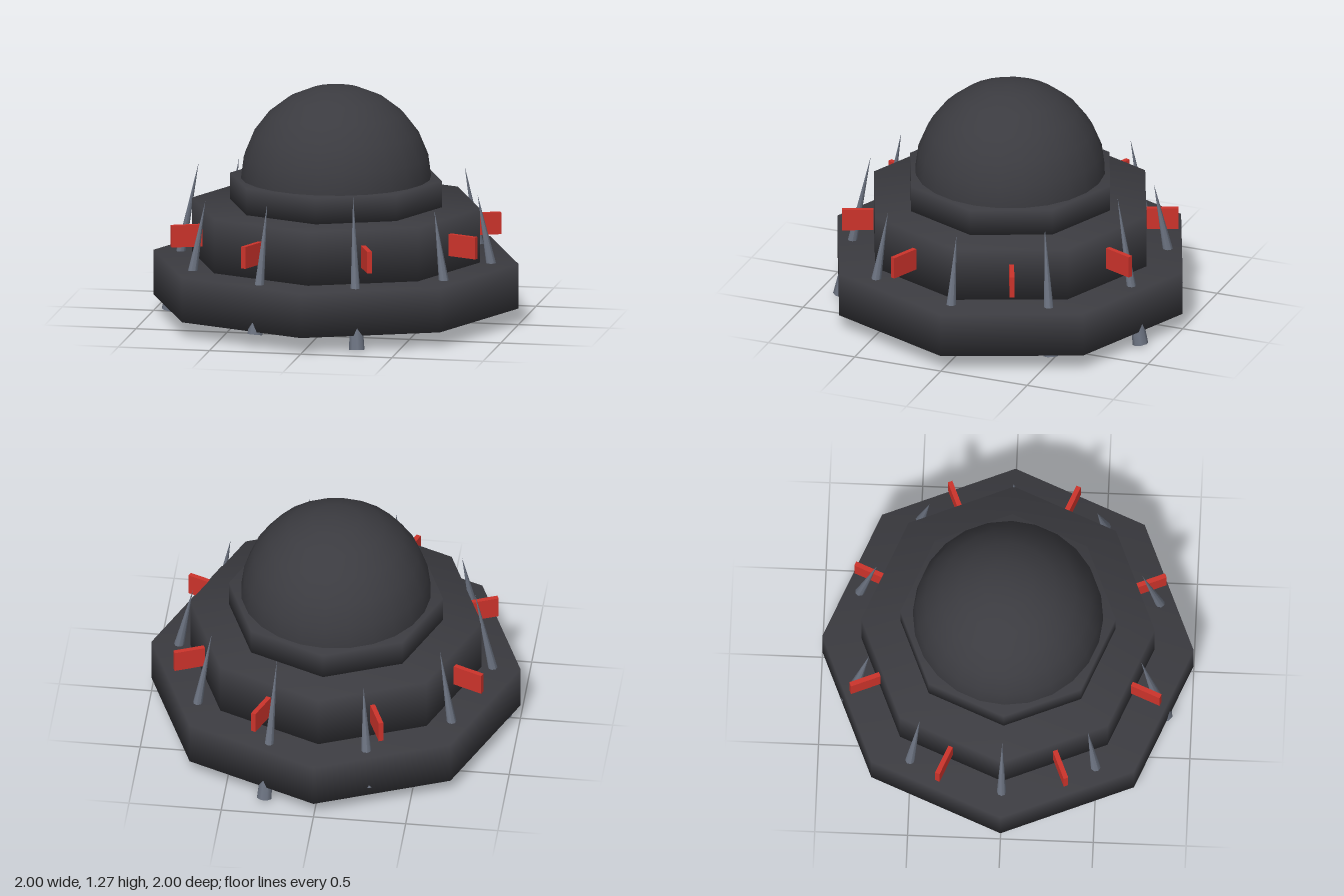
import * as THREE from 'three';
import { mergeVertices } from 'three/addons/utils/BufferGeometryUtils.js';

const mat = (name, color) => {
  const m = new THREE.MeshStandardMaterial({ color });
  m.name = name;
  return m;
};

// Octagonal slab with normals blended over its rims
function tierGeometry(radius, bottom, top) {
  const g = new THREE.CylinderGeometry(radius, radius, top - bottom, 8);
  g.deleteAttribute('uv');
  g.deleteAttribute('normal');
  const merged = mergeVertices(g, 1e-4);
  merged.computeVertexNormals();
  merged.translate(0, (top + bottom) / 2, 0);
  return merged;
}

export function createModel() {
  const model = new THREE.Group();
  const hull = mat('charcoal', 0x3b3b40);
  const red = mat('red', 0xcc332b);
  const steel = mat('steel grey', 0x6b7280);

  const add = (name, geometry, material, parent = model) => {
    const mesh = new THREE.Mesh(geometry, material);
    mesh.name = name;
    parent.add(mesh);
    return mesh;
  };

  // Three stacked octagonal tiers
  add('baseTier', tierGeometry(1, 0.09, 0.335), hull);
  add('middleTier', tierGeometry(0.79, 0.335, 0.63), hull);
  add('upperTier', tierGeometry(0.58, 0.63, 0.775), hull);

  // Dome
  const dome = new THREE.SphereGeometry(0.515, 24, 6, 0, Math.PI * 2, 0, Math.PI / 2);
  add('dome', dome, hull).position.y = 0.76;

  // Radial fins, one on each side of the middle tier
  const finGeometry = new THREE.BoxGeometry(0.17, 0.12, 0.026);
  for (let i = 0; i < 8; i++) {
    const arm = new THREE.Group();
    arm.name = 'finArm';
    arm.rotation.y = (i + 0.5) * Math.PI / 4;
    add('fin', finGeometry, red, arm).position.set(0.82, 0.485, 0);
    model.add(arm);
  }

  // Ring of inward-leaning spikes in three lengths, passing through the base
  const spikeGeometries = [0.59, 0.71, 0.832].map(h => new THREE.ConeGeometry(0.042, h, 8));
  for (let i = 0; i < 10; i++) {
    const arm = new THREE.Group();
    arm.name = 'spikeArm';
    arm.rotation.y = i * Math.PI / 5;
    const spike = add('spike', spikeGeometries[i % 3], steel, arm);
    spike.position.set(0.833, 0.418, 0);
    spike.rotation.z = 0.195;
    model.add(arm);
  }
  return model;
}
